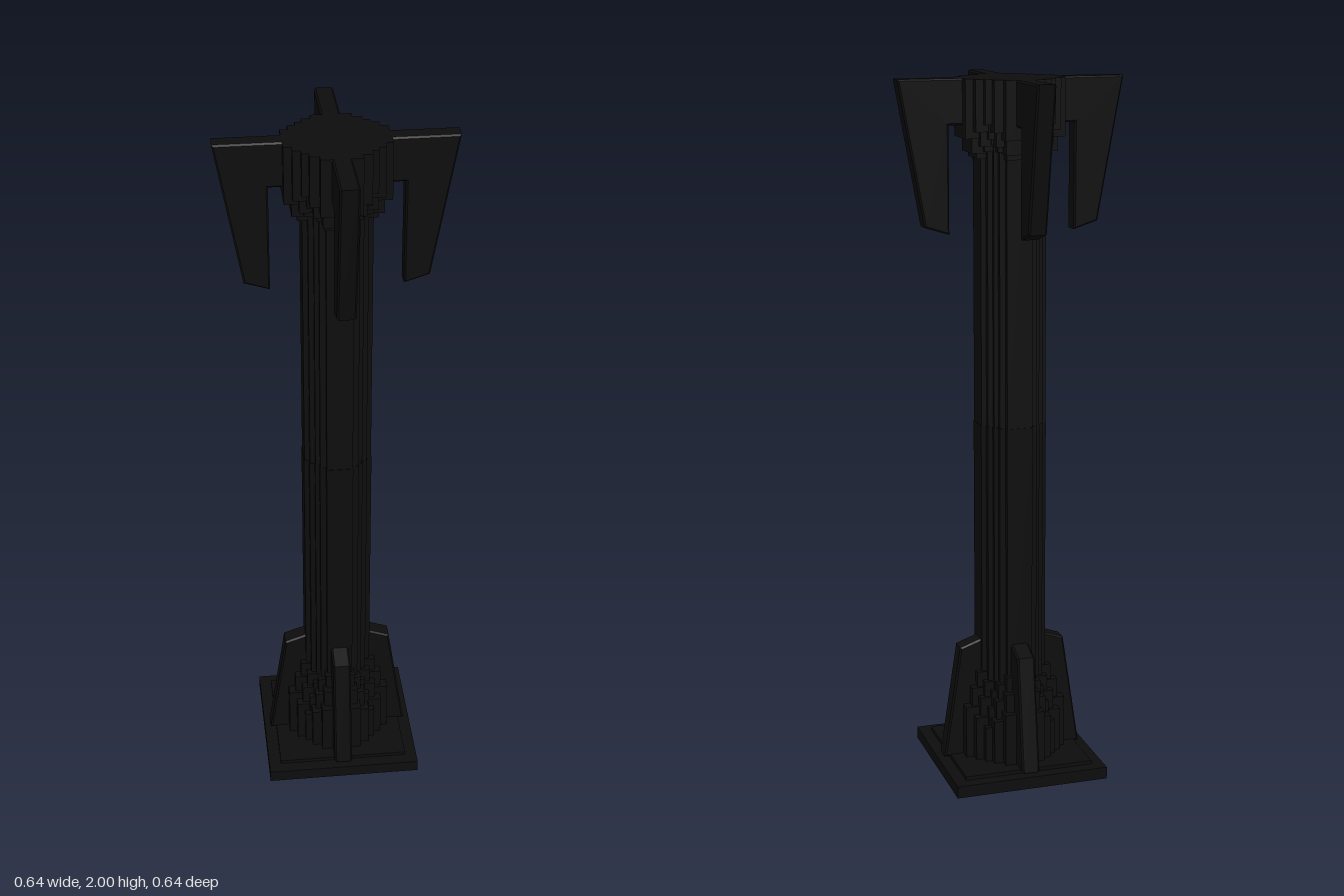
import * as THREE from 'three';

const material = new THREE.MeshStandardMaterial({ color: 0x0d0d0d });

// Half sizes (x, z) of the crossed blocks that form a stepped, near-round plan
const STEPS = [[1, 0.39], [0.85, 0.57], [0.7, 0.7], [0.57, 0.85], [0.39, 1]];

function block(name, hx, hz, y0, y1) {
  const mesh = new THREE.Mesh(new THREE.BoxGeometry(2 * hx, y1 - y0, 2 * hz), material);
  mesh.name = name;
  mesh.position.y = (y0 + y1) / 2;
  return mesh;
}

// Stepped drum; lift and drop move the bottoms and tops toward the diagonals into chevrons
function steppedDrum(name, r, y0, y1, lift = 0, drop = 0) {
  const drum = new THREE.Group();
  drum.name = name;
  STEPS.forEach(([a, b], i) => {
    const k = 2 - Math.abs(i - 2);
    drum.add(block(name + 'Step', a * r, b * r, y0 + k * lift, y1 - k * drop));
  });
  return drum;
}

// Four equal fins around the column, cut from one radial profile
function finSet(name, points, thickness) {
  const bevel = 0.005;
  const geometry = new THREE.ExtrudeGeometry(new THREE.Shape(points.map(p => new THREE.Vector2(...p))), {
    depth: thickness - 2 * bevel, bevelEnabled: true, bevelSegments: 1,
    bevelSize: bevel, bevelThickness: bevel, bevelOffset: -bevel,
  });
  geometry.translate(0, 0, -thickness / 2 + bevel);
  const set = new THREE.Group();
  set.name = name + 's';
  for (let i = 0; i < 4; i++) {
    const fin = new THREE.Mesh(geometry, material);
    fin.name = name;
    fin.rotation.y = i * Math.PI / 2;
    set.add(fin);
  }
  return set;
}

export function createModel() {
  const model = new THREE.Group();
  model.name = 'column';

  // Square foot
  model.add(block('footPlate', 0.225, 0.225, 0, 0.035));
  model.add(block('footStep', 0.19, 0.19, 0.035, 0.046));

  // Fluted shaft in two lengths
  model.add(steppedDrum('lowerShaft', 0.096, 0.04, 1.035));
  model.add(steppedDrum('upperShaft', 0.0945, 1.035, 1.99));

  // Tiered base drums, tops dipping at the diagonals
  [[0.15, 0.2], [0.13, 0.255], [0.112, 0.3]].forEach(([r, top]) =>
    model.add(steppedDrum('baseDrum', r, 0.04, top, 0, 0.025)));

  // Tiered capital, bottoms rising at the diagonals
  [[0.142, 1.84], [0.122, 1.8], [0.107, 1.785]].forEach(([r, bottom]) =>
    model.add(steppedDrum('capital', r, bottom, 2, 0.02)));

  // Buttresses at the foot and hanging brackets at the top
  model.add(finSet('buttress', [[0.05, 0.04], [0.207, 0.04], [0.157, 0.373], [0.095, 0.395], [0.05, 0.395]], 0.052));
  model.add(finSet('bracket', [
    [0.09, 2], [0.09, 1.875], [0.18, 1.875], [0.18, 1.578], [0.25, 1.6], [0.322, 2],
  ], 0.052));

  return model;
}
